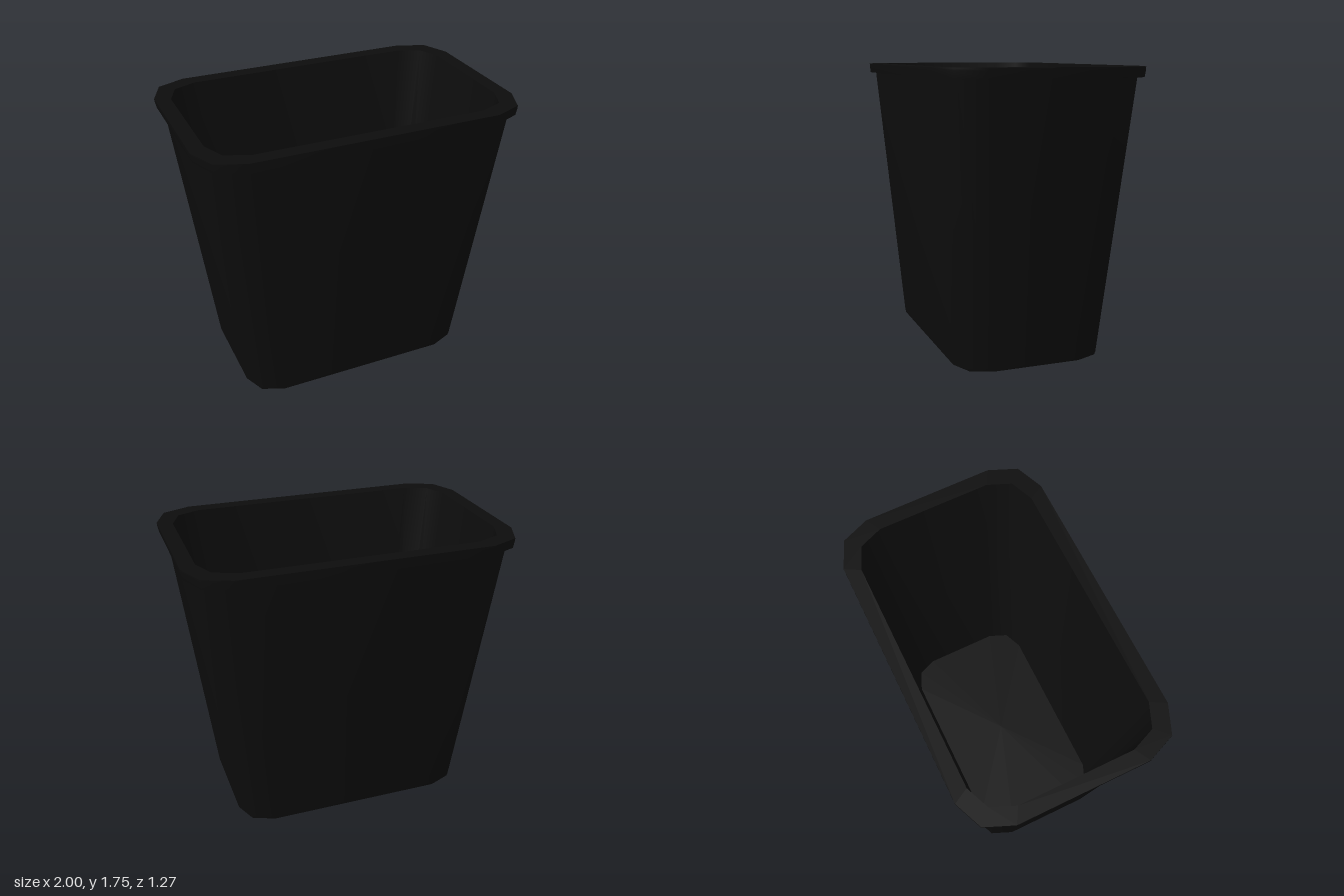
import * as THREE from 'three';
import { toCreasedNormals } from 'three/addons/utils/BufferGeometryUtils.js';

const CORNER_STEPS = 2;

// Rounded-rectangle ring: half width, half depth, corner radius, height
function ring([hx, hz, r, y]) {
  const points = [];
  for (let corner = 0; corner < 4; corner++) {
    const sx = corner === 0 || corner === 3 ? 1 : -1;
    const sz = corner < 2 ? 1 : -1;
    for (let s = 0; s <= CORNER_STEPS; s++) {
      const a = (corner + s / CORNER_STEPS) * Math.PI / 2;
      points.push([sx * (hx - r) + r * Math.cos(a), y, sz * (hz - r) + r * Math.sin(a)]);
    }
  }
  return points;
}

// Skin a series of rings; a ring of zero size closes the skin at its centre
function loft(profile) {
  const rings = profile.map(ring);
  const n = rings[0].length;
  const positions = [];
  for (let j = 0; j < rings.length - 1; j++) {
    for (let i = 0; i < n; i++) {
      const k = (i + 1) % n;
      const a = rings[j][i], b = rings[j][k], c = rings[j + 1][k], d = rings[j + 1][i];
      if (profile[j + 1][0] > 0) positions.push(...a, ...d, ...c);
      if (profile[j][0] > 0) positions.push(...a, ...c, ...b);
    }
  }
  const geometry = new THREE.BufferGeometry();
  geometry.setAttribute('position', new THREE.Float32BufferAttribute(positions, 3));
  return toCreasedNormals(geometry, 0.9);
}

export function createModel() {
  const plastic = new THREE.MeshStandardMaterial({ color: 0x0d0d0d });
  plastic.name = 'black plastic';

  const model = new THREE.Group();
  model.name = 'wastebasket';
  const add = (name, profile) => {
    const mesh = new THREE.Mesh(loft(profile), plastic);
    mesh.name = name;
    model.add(mesh);
  };

  // Tapered outside with its flat base
  add('outerShell', [
    [0, 0, 0, 0],
    [0.74, 0.46, 0.19, 0],
    [0.745, 0.465, 0.19, 0.02],
    [0.955, 0.597, 0.22, 1.69],
  ]);

  // Overhanging lip: underside, outer band and flat top
  add('rim', [
    [0.955, 0.597, 0.22, 1.69],
    [0.99, 0.63, 0.235, 1.69],
    [1, 0.635, 0.24, 1.735],
    [1, 0.635, 0.24, 1.75],
    [0.91, 0.545, 0.2, 1.75],
  ]);

  // Inside walls and floor
  add('innerShell', [
    [0.91, 0.545, 0.2, 1.75],
    [0.7, 0.412, 0.17, 0.03],
    [0, 0, 0, 0.03],
  ]);

  return model;
}
